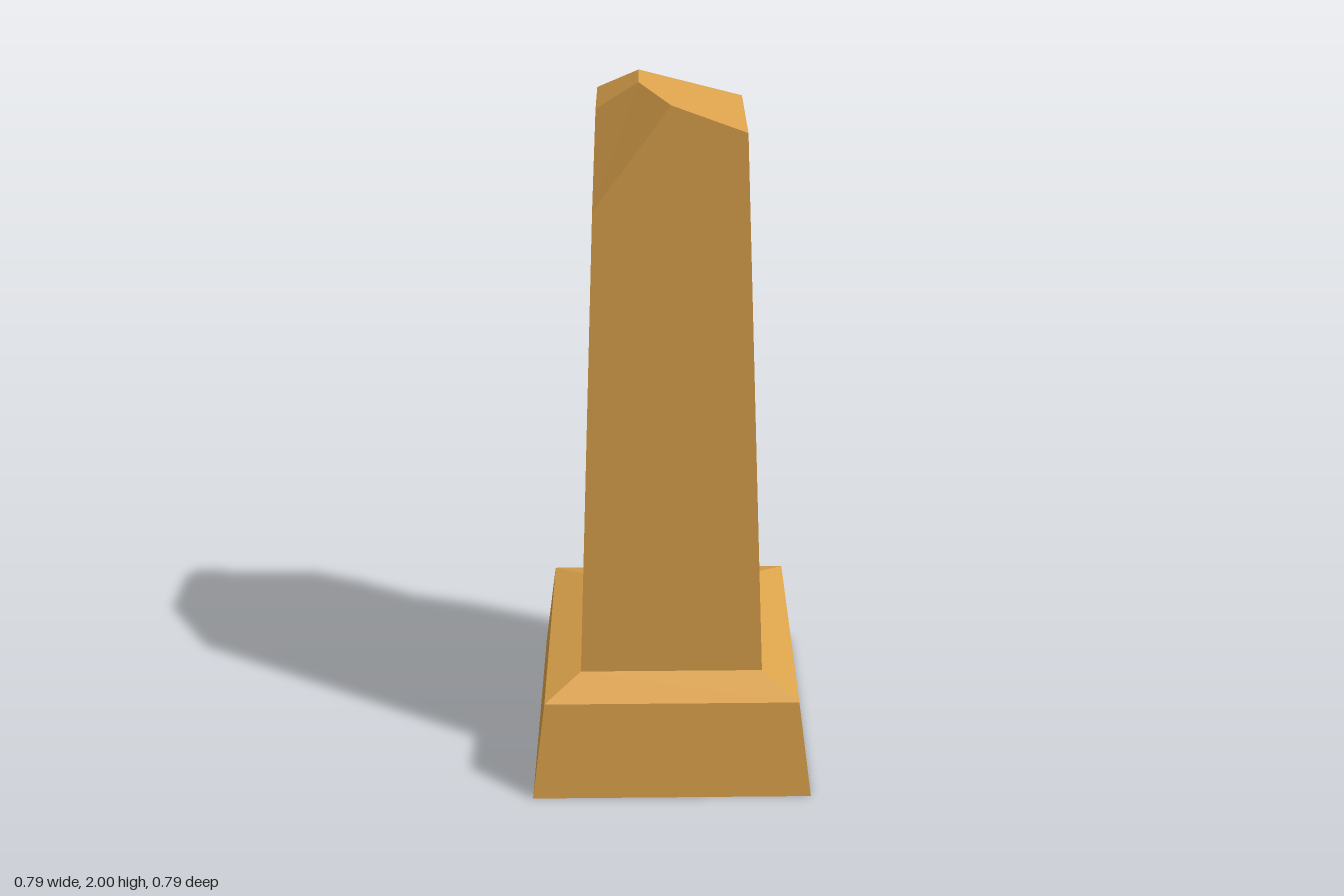
import * as THREE from 'three';

const stone = new THREE.MeshStandardMaterial({ color: 0xdba24b, flatShading: true });

// Builds a faceted solid from named corners and faces (counter-clockwise, fanned from the first corner)
function faceted(corners, faces) {
  const positions = [];
  for (const face of faces) {
    const names = face.split(' ');
    for (let i = 1; i < names.length - 1; i++) {
      positions.push(...corners[names[0]], ...corners[names[i]], ...corners[names[i + 1]]);
    }
  }
  const geometry = new THREE.BufferGeometry();
  geometry.setAttribute('position', new THREE.Float32BufferAttribute(positions, 3));
  geometry.computeVertexNormals();
  return geometry;
}

// Square pedestal with sloping sides and a bevelled shoulder
function createPedestal() {
  const profile = [[0, 0], [0.397, 0], [0.357, 0.3], [0.257, 0.34]]
    .map(([half, y]) => new THREE.Vector2(half * Math.SQRT2, y));
  const geometry = new THREE.LatheGeometry(profile, 4).rotateY(Math.PI / 4);
  const mesh = new THREE.Mesh(geometry, stone);
  mesh.name = 'pedestal';
  return mesh;
}

// Tapered square shaft with a broken top and a notch in the back corner
function createShaft() {
  const half = (y) => 0.257 - 0.043 * (y - 0.34);
  const edge = (sx, sz, y) => [sx * half(y), y, sz * half(y)];
  const corners = {
    // foot of the shaft
    footFL: edge(-1, 1, 0.34), footFR: edge(1, 1, 0.34),
    footBR: edge(1, -1, 0.34), footBL: edge(-1, -1, 0.34),
    // broken top
    ridgeF: [-0.08, 2, 0.09], ridgeB: [-0.08, 2, -0.022],
    frontMid: [0, 1.97, half(1.97)], topFR: edge(1, 1, 1.9),
    rightMid: [half(1.9), 1.9, -0.127], topBR: edge(1, -1, 1.85),
    topBL: edge(-1, -1, 1.885), leftB: [-half(1.92), 1.92, -0.14],
    leftF: [-half(1.92), 1.92, 0.05], chipLow: edge(-1, 1, 1.7),
    // corner notch
    notchTop: edge(1, -1, 1.65), notchLow: edge(1, -1, 1.13),
    notchR: [half(1.325), 1.325, -0.156], notchB: [0.156, 1.325, -half(1.325)],
  };
  const faces = [
    // four sides
    'footFL footFR topFR frontMid chipLow',
    'footFR footBR notchLow notchR notchTop topBR rightMid topFR',
    'footBL topBL topBR notchTop notchB notchLow footBR',
    'footBL footFL chipLow leftF leftB topBL',
    // top slopes and chipped front corner
    'ridgeF frontMid topFR rightMid ridgeB',
    'ridgeF ridgeB leftB leftF',
    'ridgeB rightMid topBR topBL leftB',
    'ridgeF leftF chipLow frontMid',
    // notch
    'notchTop notchR notchB',
    'notchLow notchB notchR',
  ];
  const mesh = new THREE.Mesh(faceted(corners, faces), stone);
  mesh.name = 'brokenShaft';
  return mesh;
}

export function createModel() {
  const group = new THREE.Group();
  group.name = 'brokenObelisk';
  group.add(createPedestal(), createShaft());
  return group;
}
